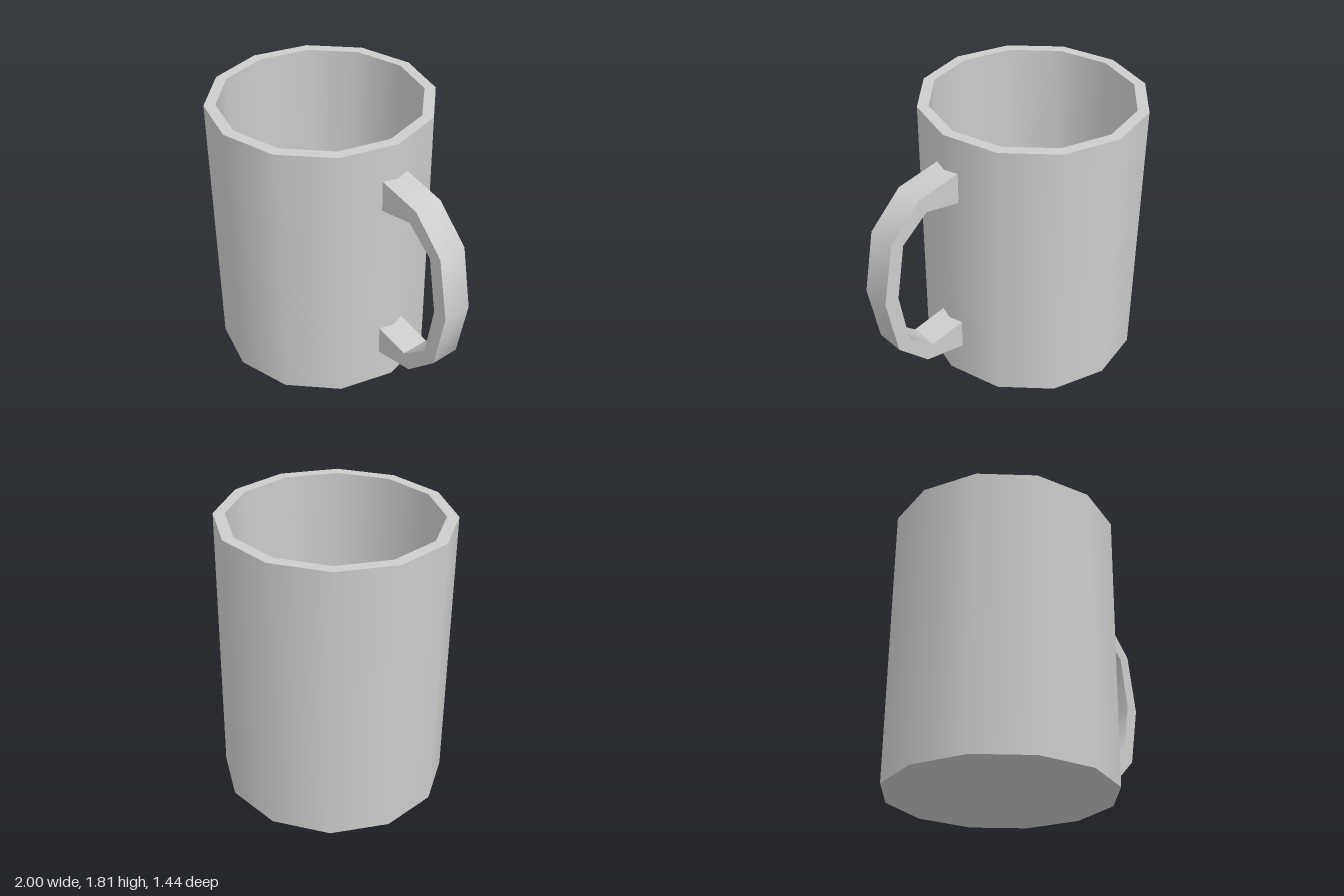
import * as THREE from 'three';
import { toCreasedNormals } from 'three/addons/utils/BufferGeometryUtils.js';

const SIDES = 12, HEIGHT = 1.81, OUTER = 0.722, INNER = 0.65, FLOOR = 0.07;
const MUG_X = -0.278, MID_Y = 0.905, HANDLE_DEPTH = 0.19;

export function createModel() {
  const model = new THREE.Group();
  model.name = 'mug';
  const grey = new THREE.MeshStandardMaterial({ color: 0xcccccc });
  grey.name = 'grey ceramic';

  // Body: one lathe per profile segment, smooth around and sharp at the rims
  const body = new THREE.Group();
  body.name = 'body';
  body.position.x = MUG_X;
  const profile = [[0, 0], [OUTER, 0], [OUTER, HEIGHT], [INNER, HEIGHT], [INNER, FLOOR], [0, FLOOR]]
    .map(([r, y]) => new THREE.Vector2(r, y));
  ['base', 'outerWall', 'rim', 'innerWall', 'floor'].forEach((name, i) => {
    const part = new THREE.Mesh(new THREE.LatheGeometry([profile[i], profile[i + 1]], SIDES), grey);
    part.name = name;
    body.add(part);
  });
  model.add(body);

  // Handle: upper half of the outer and inner edges, mirrored about mid height
  const mirrored = (pts) => [...pts, ...pts.slice(0, -1).reverse().map(([x, y]) => [x, 2 * MID_Y - y])];
  const outer = mirrored([[0.418, 1.577], [0.71, 1.52], [0.926, 1.305], [1, MID_Y]]);
  const inner = mirrored([[0.418, 1.372], [0.66, 1.417], [0.842, 1.265], [0.903, MID_Y]]);
  const outline = new THREE.Shape([...outer, ...inner.reverse()].map(([x, y]) => new THREE.Vector2(x, y)));
  const bar = new THREE.ExtrudeGeometry(outline, { depth: HANDLE_DEPTH, bevelEnabled: false });
  bar.translate(0, 0, -HANDLE_DEPTH / 2);
  const handle = new THREE.Mesh(toCreasedNormals(bar, THREE.MathUtils.degToRad(45)), grey);
  handle.name = 'handle';
  model.add(handle);

  return model;
}
